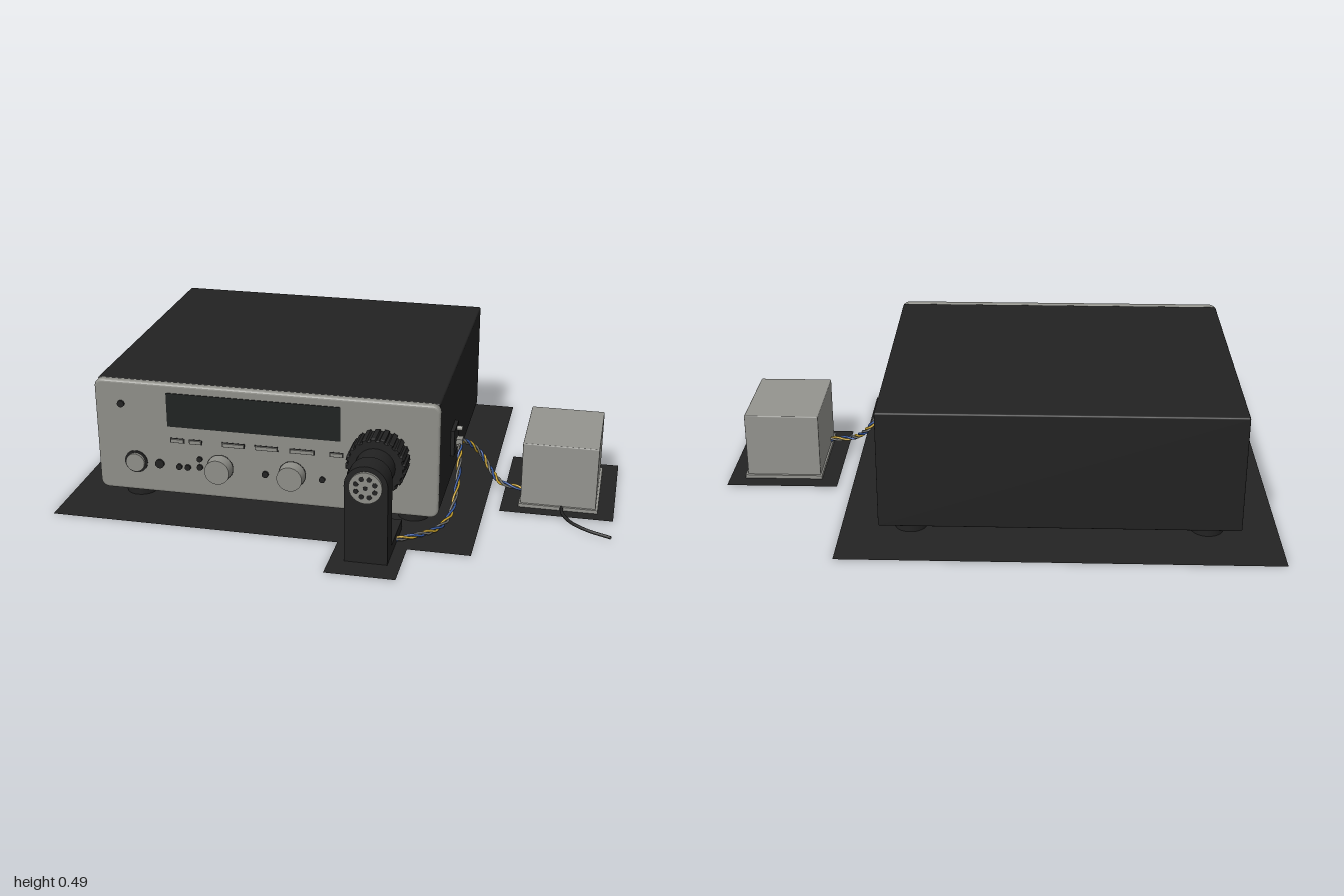
import * as THREE from 'three';
import { RoundedBoxGeometry } from 'three/addons/geometries/RoundedBoxGeometry.js';

const V = (x, y, z) => new THREE.Vector3(x, y, z);

export function createModel() {
  const root = new THREE.Group();
  const mat = (name, color, side = THREE.FrontSide) => {
    const m = new THREE.MeshStandardMaterial({ color, side });
    m.name = name;
    return m;
  };
  const black = mat('black', 0x222222);
  const sheetBlack = mat('sheetBlack', 0x232323, THREE.DoubleSide);
  const glass = mat('displayGlass', 0x1f2221);
  const grey = mat('panelGrey', 0x8e8e88);
  const boxGrey = mat('boxGrey', 0x94948f);
  const yellow = mat('wireYellow', 0xc9a22c);
  const blue = mat('wireBlue', 0x3558a0);
  const wireGrey = mat('wireGrey', 0x6a6a66);

  const add = (name, geo, material, x = 0, y = 0, z = 0) => {
    const m = new THREE.Mesh(geo, material);
    m.name = name;
    m.position.set(x, y, z);
    root.add(m);
    return m;
  };
  // Box given by its lower and upper limits on each axis
  const box = (name, material, x0, x1, y0, y1, z0, z1) => add(name,
    new THREE.BoxGeometry(x1 - x0, y1 - y0, z1 - z0), material,
    (x0 + x1) / 2, (y0 + y1) / 2, (z0 + z1) / 2);
  // Disc or drum with its axis along z
  const drum = (name, material, x, y, r, z0, z1, rBack = r) => add(name,
    new THREE.CylinderGeometry(r, rBack, z1 - z0, 40).rotateX(Math.PI / 2), material, x, y, (z0 + z1) / 2);
  const roundRect = (w, h, r) => {
    const s = new THREE.Shape(), a = w / 2 - r, b = h / 2 - r;
    s.absarc(a, b, r, 0, Math.PI / 2);
    s.absarc(-a, b, r, Math.PI / 2, Math.PI);
    s.absarc(-a, -b, r, Math.PI, Math.PI * 1.5);
    s.absarc(a, -b, r, Math.PI * 1.5, Math.PI * 2);
    return s;
  };

  // Ground sheets
  const outline = [[-1, -0.79], [0.53, -0.79], [0.53, 0.567], [0.307, 0.567], [0.307, 0.785],
    [0.06, 0.785], [0.06, 0.567], [-1, 0.567]].map(([x, z]) => new THREE.Vector2(x, -z));
  add('baseSheet', new THREE.ShapeGeometry(new THREE.Shape(outline)).rotateX(-Math.PI / 2), sheetBlack);
  add('supplySheet', new THREE.PlaneGeometry(0.41, 0.485).rotateX(-Math.PI / 2), sheetBlack, 0.791, 0.005, -0.027);

  // Cabinet, feet and front panel
  add('cabinet', new RoundedBoxGeometry(1.246, 0.425, 1.07, 2, 0.006), black, -0.235, 0.273, -0.13);
  for (const x of [-0.753, 0.285]) for (const z of [0.3, -0.54]) {
    add('foot', new THREE.CylinderGeometry(0.057, 0.057, 0.062, 32), black, x, 0.033, z);
  }
  add('frontPanel', new THREE.ExtrudeGeometry(roundRect(1.237, 0.408, 0.02), {
    depth: 0.012, bevelThickness: 0.01, bevelSize: 0.01, bevelSegments: 4, curveSegments: 6,
  }), grey, -0.235, 0.274, 0.41);
  const face = 0.432;

  // Display window and narrow buttons
  box('display', glass, -0.594, 0.043, 0.326, 0.455, face - 0.005, face + 0.003);
  for (const [a, b] of [[-0.583, -0.535], [-0.513, -0.47], [-0.39, -0.31], [-0.267, -0.187],
    [-0.139, -0.053], [0.005, 0.05]]) {
    box('buttonSlot', black, a - 0.003, b + 0.003, 0.263, 0.282, face - 0.004, face + 0.001);
    box('button', grey, a, b, 0.266, 0.279, face - 0.004, face + 0.007);
  }

  // Lamps, sockets and small push buttons
  for (const [x, y, r] of [[-0.765, 0.4, 0.013], [-0.63, 0.176, 0.017], [-0.556, 0.171, 0.011],
    [-0.524, 0.171, 0.011], [-0.478, 0.208, 0.01], [-0.478, 0.176, 0.011], [-0.233, 0.172, 0.012],
    [-0.024, 0.172, 0.011], [0.1, 0.172, 0.012]]) {
    drum('smallButton', black, x, y, r, face - 0.004, face + 0.008);
  }

  // Rotary knobs
  drum('powerRing', black, -0.72, 0.176, 0.043, face - 0.004, face + 0.004);
  drum('powerKnob', grey, -0.72, 0.176, 0.035, face - 0.004, face + 0.015);
  for (const x of [-0.402, -0.134]) {
    drum('knobRing', black, x, 0.181, 0.0505, face - 0.004, face + 0.001);
    drum('rotaryKnob', grey, x, 0.181, 0.046, face - 0.002, 0.478, 0.049);
  }

  // Ribbed tuning knob with its coupling
  const kx = 0.187, ky = 0.287;
  drum('knobPlate', grey, kx, ky, 0.088, face - 0.004, 0.445);
  const gear = new THREE.Shape();
  const ribs = 20;
  for (let i = 0; i < ribs; i++) {
    [[0, 0.106], [0.5, 0.106], [0.6, 0.098], [0.9, 0.098]].forEach(([f, r], j) => {
      const t = (i + f) / ribs * Math.PI * 2;
      gear[i + j ? 'lineTo' : 'moveTo'](r * Math.cos(t), r * Math.sin(t));
    });
  }
  add('tuningKnob', new THREE.ExtrudeGeometry(gear, {
    depth: 0.084, bevelThickness: 0.005, bevelSize: 0.003, bevelOffset: -0.003, bevelSegments: 1,
  }), black, kx, ky, 0.446);
  drum('coupling', black, kx, ky, 0.07, 0.53, 0.62);

  // Upright arm with rounded top, on a flat foot
  const arm = new THREE.Shape();
  arm.moveTo(-0.075, 0.001);
  arm.lineTo(0.075, 0.001);
  arm.lineTo(0.075, ky);
  arm.absarc(0, ky, 0.075, 0, Math.PI);
  arm.closePath();
  add('driveArm', new THREE.ExtrudeGeometry(arm, { depth: 0.08, bevelEnabled: false, curveSegments: 20 }),
    black, kx, 0, 0.614);
  box('armFoot', black, kx - 0.075, kx + 0.075, 0.001, 0.037, 0.42, 0.62);

  // Perforated disc on the arm
  drum('armDisc', grey, kx, ky, 0.057, 0.69, 0.704);
  drum('discHole', black, kx, ky, 0.008, 0.7, 0.705);
  for (let i = 0; i < 8; i++) {
    const t = (i + 0.5) * Math.PI / 4;
    drum('discHole', black, kx + 0.035 * Math.cos(t), ky + 0.035 * Math.sin(t), 0.009, 0.7, 0.705);
  }

  // Side connector plate
  box('connectorPlate', black, 0.38, 0.402, 0.165, 0.265, 0.015, 0.125);
  for (const [y, z] of [[0.25, 0.055], [0.18, 0.055]]) {
    const screw = new THREE.CylinderGeometry(0.009, 0.009, 0.025, 16).rotateZ(Math.PI / 2);
    add('connectorScrew', screw, grey, 0.41, y, z);
  }
  box('plug', grey, 0.4, 0.425, 0.192, 0.212, 0.04, 0.075);

  // Power supply box
  add('supplyBox', new RoundedBoxGeometry(0.274, 0.252, 0.358, 2, 0.004), boxGrey, 0.793, 0.13, -0.021);
  box('supplyLip', boxGrey, 0.65, 0.938, 0.001, 0.018, -0.209, 0.167);

  // Twisted wire bundles
  class Strand extends THREE.Curve {
    constructor(path, phase, turns) {
      super();
      Object.assign(this, { path, phase, turns });
    }
    getPoint(t, target = V(0, 0, 0)) {
      const a = this.phase + t * this.turns * Math.PI * 2, r = 0.006;
      const d = this.path.getTangent(t);
      const side = V(-d.z, 0, d.x).add(V(0, 0, 1e-4)).normalize();
      const up = d.clone().cross(side).normalize();
      return target.copy(this.path.getPoint(t)).addScaledVector(side, r * Math.cos(a)).addScaledVector(up, r * Math.sin(a));
    }
  }
  const bundle = (name, points, turns) => {
    const path = new THREE.CatmullRomCurve3(points);
    [yellow, blue, wireGrey].forEach((m, i) => {
      add(name, new THREE.TubeGeometry(new Strand(path, i * Math.PI * 2 / 3, turns), 110, 0.0045, 7), m);
    });
  };
  bundle('supplyWire', [V(0.415, 0.203, 0.055), V(0.45, 0.175, 0.02), V(0.495, 0.12, 0),
    V(0.535, 0.075, 0.035), V(0.575, 0.048, 0.065), V(0.66, 0.036, 0.075)], 4);
  bundle('driveWire', [V(0.415, 0.195, 0.06), V(0.422, 0.15, 0.12), V(0.427, 0.075, 0.22),
    V(0.42, 0.025, 0.33), V(0.385, 0.013, 0.42), V(0.33, 0.012, 0.475), V(0.25, 0.012, 0.53)], 5);

  // Mains cable
  const mains = new THREE.CatmullRomCurve3([V(0.805, 0.014, 0.15), V(0.815, 0.014, 0.21),
    V(0.85, 0.013, 0.27), V(0.91, 0.011, 0.315), V(0.994, 0.009, 0.35)]);
  add('mainsCable', new THREE.TubeGeometry(mains, 40, 0.006, 8), sheetBlack);

  return root;
}
